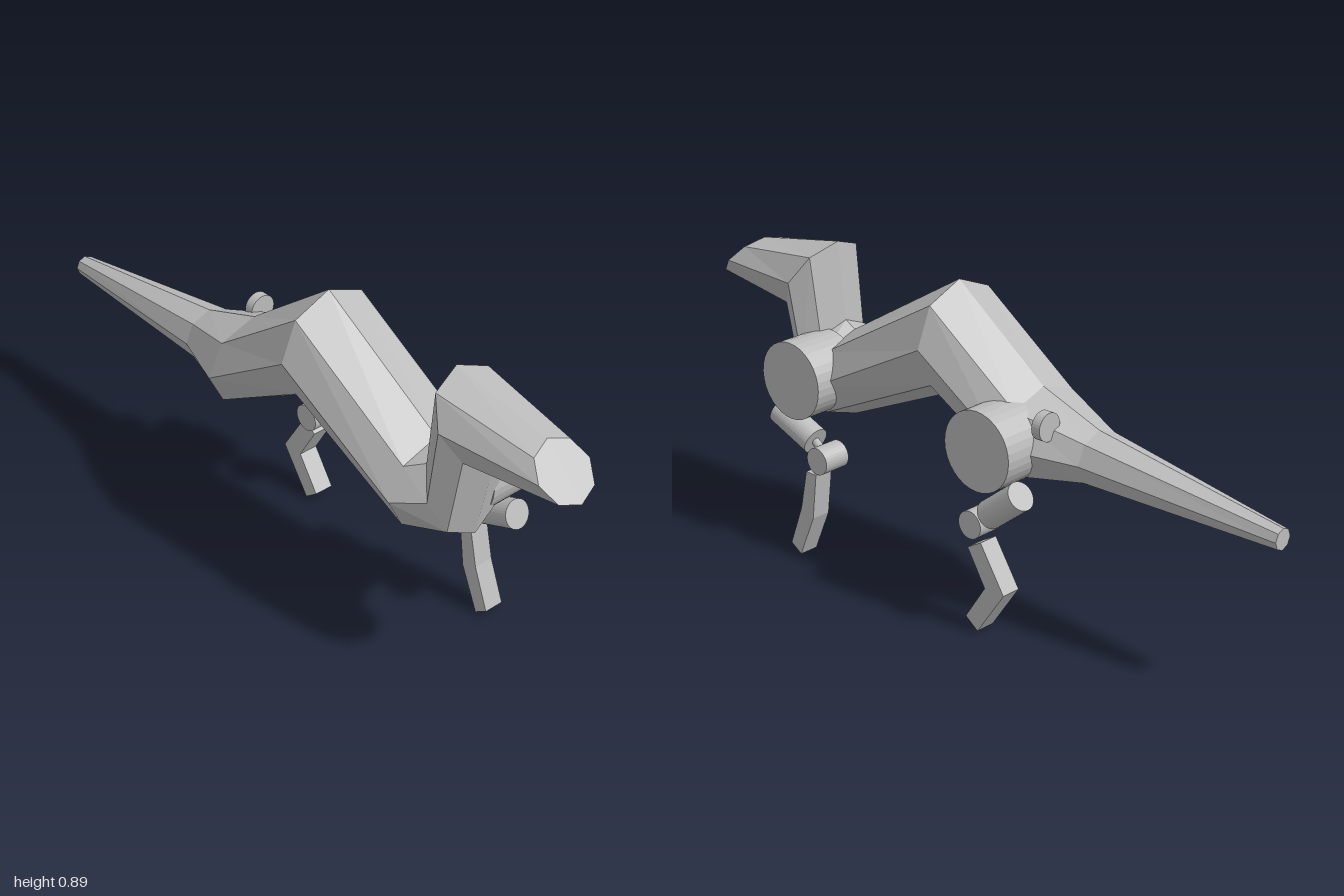
import * as THREE from 'three';

const clay = new THREE.MeshStandardMaterial({ color: 0xbcbcbc, flatShading: true });
clay.name = 'clayGrey';

const SIDES = 8;
const BODY_Z = 0.034;

// Cross-sections from tail to snout: top x, y, bottom x, y, half width
const sections = [
  [-1, 0.5, -1, 0.44, 0.03],
  [-0.41, 0.59, -0.41, 0.437, 0.085],
  [-0.215, 0.66, -0.215, 0.4, 0.162],
  [0.09, 0.887, 0.09, 0.565, 0.162],
  [0.5, 0.64, 0.5, 0.383, 0.162],
  [0.535, 0.66, 0.65, 0.42, 0.118],
  [0.56, 0.888, 0.705, 0.668, 0.128],
  [0.87, 0.832, 0.995, 0.705, 0.088],
];

// Octagonal skin swept through the sections, closed at both ends
function bodyGeometry() {
  const rings = sections.map(([tx, ty, bx, by, w]) => {
    const ring = [];
    for (let k = 0; k < SIDES; k++) {
      const a = (k / SIDES) * Math.PI * 2;
      const c = Math.cos(a) / 2;
      ring.push([(tx + bx) / 2 + (tx - bx) * c, (ty + by) / 2 + (ty - by) * c, BODY_Z + Math.sin(a) * w]);
    }
    return ring;
  });
  const pos = [];
  const tri = (...pts) => pts.forEach((p) => pos.push(...p));
  for (let i = 0; i < rings.length - 1; i++) {
    for (let k = 0; k < SIDES; k++) {
      const n = (k + 1) % SIDES;
      tri(rings[i][k], rings[i][n], rings[i + 1][n]);
      tri(rings[i][k], rings[i + 1][n], rings[i + 1][k]);
    }
  }
  const first = rings[0];
  const last = rings[rings.length - 1];
  for (let k = 1; k < SIDES - 1; k++) {
    tri(first[0], first[k + 1], first[k]);
    tri(last[0], last[k], last[k + 1]);
  }
  const geo = new THREE.BufferGeometry();
  geo.setAttribute('position', new THREE.Float32BufferAttribute(pos, 3));
  geo.computeVertexNormals();
  return geo;
}

function addMesh(parent, name, geometry) {
  const mesh = new THREE.Mesh(geometry, clay);
  mesh.name = name;
  parent.add(mesh);
  return mesh;
}

// Cylinder running from point a to point b
function addRod(parent, name, a, b, radius, sides = 32) {
  const from = new THREE.Vector3(...a);
  const to = new THREE.Vector3(...b);
  const dir = to.clone().sub(from);
  const mesh = addMesh(parent, name, new THREE.CylinderGeometry(radius, radius, dir.length(), sides));
  mesh.position.copy(from).add(to).multiplyScalar(0.5);
  mesh.quaternion.setFromUnitVectors(new THREE.Vector3(0, 1, 0), dir.normalize());
  return mesh;
}

// Joint drum, upper limb, thin link, knee drum and bent lower leg
function addLeg(parent, { name, joint, upper, knee, lower }) {
  const leg = new THREE.Group();
  leg.name = name;
  const [jx, jy, jz] = joint;
  addRod(leg, 'jointDrum', [jx, jy, -0.02], [jx, jy, jz], 0.114);
  addRod(leg, 'upperLeg', upper[0], upper[1], 0.041);
  addRod(leg, 'kneeLink', upper[1], [...knee, -0.135], 0.012, 12);
  addRod(leg, 'knee', [...knee, -0.09], [...knee, -0.175], 0.04);
  const shape = new THREE.Shape(lower.map(([x, y]) => new THREE.Vector2(x, y)));
  const geo = new THREE.ExtrudeGeometry(shape, { depth: 0.06, bevelEnabled: false });
  geo.translate(0, 0, -0.177);
  addMesh(leg, 'lowerLeg', geo);
  parent.add(leg);
}

export function createModel() {
  const model = new THREE.Group();
  model.name = 'creature';
  addMesh(model, 'body', bodyGeometry());

  addLeg(model, {
    name: 'frontLeg',
    joint: [0.545, 0.53, -0.176],
    upper: [[0.647, 0.4, -0.124], [0.505, 0.343, -0.124]],
    knee: [0.447, 0.312],
    lower: [[0.45, 0.27], [0.49, 0.27], [0.515, 0.15], [0.562, 0.025], [0.523, 0], [0.467, 0.13]],
  });
  addLeg(model, {
    name: 'hindLeg',
    joint: [-0.175, 0.528, -0.183],
    upper: [[-0.31, 0.435, -0.158], [-0.2, 0.348, -0.158]],
    knee: [-0.143, 0.305],
    lower: [[-0.185, 0.267], [-0.138, 0.24], [-0.2, 0.137], [-0.131, 0.032], [-0.174, 0], [-0.268, 0.137]],
  });

  // Small disc standing at the tail root
  addRod(model, 'tailDisc', [-0.326, 0.605, -0.067], [-0.298, 0.605, -0.067], 0.04);
  return model;
}
